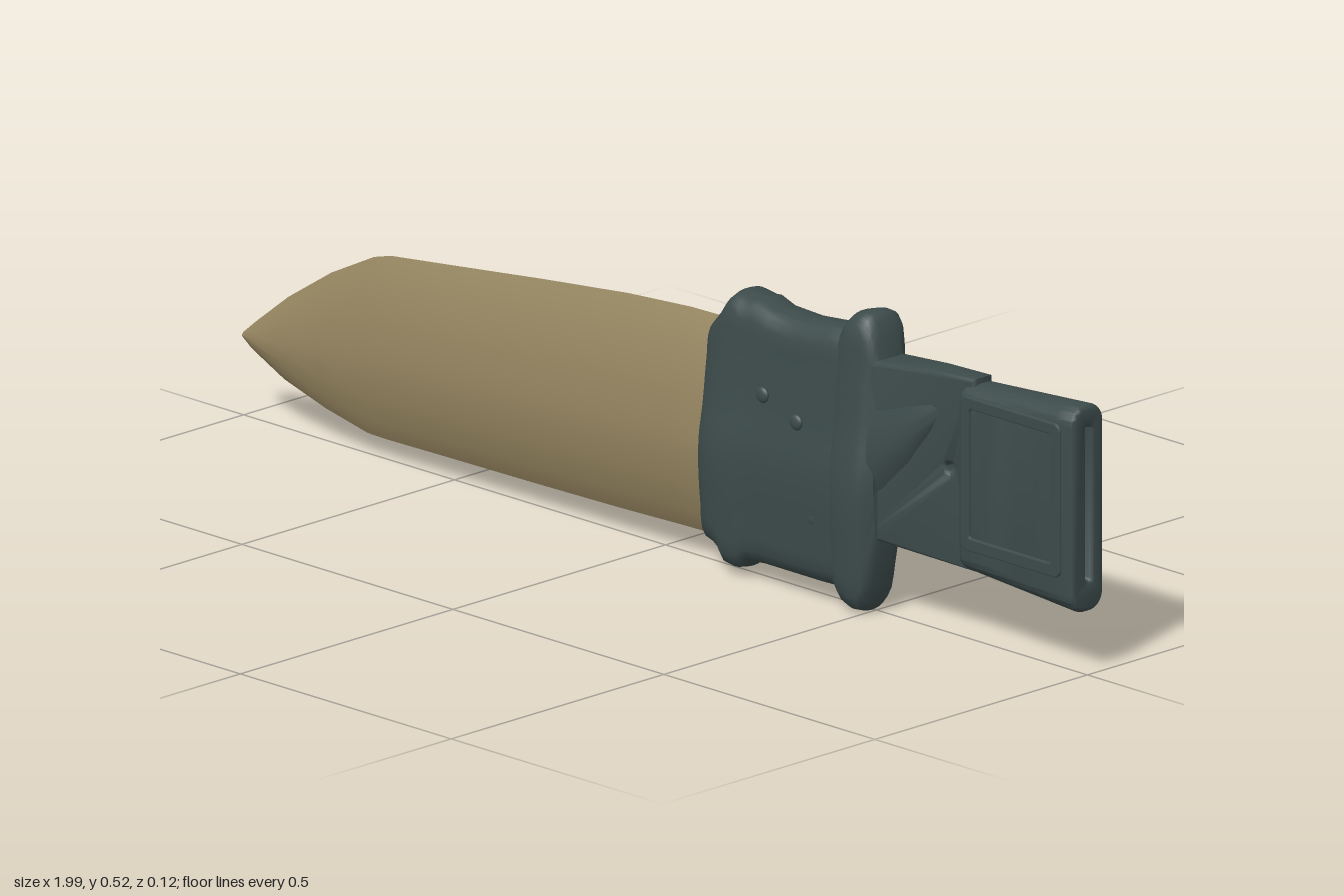
import * as THREE from 'three';
import { toCreasedNormals } from 'three/addons/utils/BufferGeometryUtils.js';

const tan = new THREE.MeshStandardMaterial({ color: 0x958560 });
tan.name = 'bladeTan';
const slate = new THREE.MeshStandardMaterial({ color: 0x3d4b4b });
slate.name = 'darkSlate';

// Smooth closed outline through a few [z, v] points (v runs 0..1 up the height).
function smoothRing(points, count) {
  const curve = new THREE.CatmullRomCurve3(points.map(([z, v]) => new THREE.Vector3(0, v, z)), true, 'centripetal');
  return curve.getPoints(count).slice(0, count).map((p) => [p.z, p.y]);
}

// Skin a ring along x. Sections are [x, bottom, top, thickness scale].
function loft(sections, ring, crease) {
  const n = ring.length, pos = [], idx = [];
  for (const [x, y0, y1, s] of sections) {
    for (const [z, v] of ring) pos.push(x, y0 + (y1 - y0) * v, z * s);
  }
  for (let i = 0; i < sections.length - 1; i++) {
    for (let j = 0; j < n; j++) {
      const k = (j + 1) % n, a = i * n + j, b = i * n + k;
      idx.push(a, b, b + n, a, b + n, a + n);
    }
  }
  const last = (sections.length - 1) * n, c = pos.length / 3;
  for (const [x, y0, y1] of [sections[0], sections[sections.length - 1]]) pos.push(x, (y0 + y1) / 2, 0);
  for (let j = 0; j < n; j++) {
    const k = (j + 1) % n;
    idx.push(c, k, j, c + 1, last + j, last + k);
  }
  const g = new THREE.BufferGeometry();
  g.setAttribute('position', new THREE.Float32BufferAttribute(pos, 3));
  g.setIndex(idx);
  return toCreasedNormals(g, crease);
}

function roundedRect(target, x0, y0, x1, y1, r) {
  target.moveTo(x0 + r, y0);
  target.lineTo(x1 - r, y0);
  target.absarc(x1 - r, y0 + r, r, -Math.PI / 2, 0);
  target.lineTo(x1, y1 - r);
  target.absarc(x1 - r, y1 - r, r, 0, Math.PI / 2);
  target.lineTo(x0 + r, y1);
  target.absarc(x0 + r, y1 - r, r, Math.PI / 2, Math.PI);
  target.lineTo(x0, y0 + r);
  target.absarc(x0 + r, y0 + r, r, Math.PI, Math.PI * 1.5);
  return target;
}

// Move every vertex by a rule, then refresh the normals.
function bend(geometry, rule) {
  const p = geometry.attributes.position, v = new THREE.Vector3();
  for (let i = 0; i < p.count; i++) {
    rule(v.fromBufferAttribute(p, i));
    p.setXYZ(i, v.x, v.y, v.z);
  }
  return toCreasedNormals(geometry, 0.7);
}

export function createModel() {
  const group = new THREE.Group();
  const add = (name, geometry, material) => {
    const mesh = new THREE.Mesh(geometry, material);
    mesh.name = name;
    group.add(mesh);
    return mesh;
  };

  // Broad blade with a low ridge on both faces
  const bladeRing = [[0.008, 0], [-0.022, 0.1], [-0.043, 0.27], [-0.055, 0.45], [-0.05, 0.68], [-0.036, 0.88],
    [-0.012, 1], [0.01, 0.9], [0.033, 0.7], [0.05, 0.45], [0.04, 0.25], [0.026, 0.09]];
  add('blade', loft([
    [-1, 0.138, 0.148, 0.08], [-0.975, 0.122, 0.17, 0.25], [-0.9, 0.088, 0.23, 0.45], [-0.8, 0.06, 0.295, 0.63],
    [-0.7, 0.04, 0.345, 0.76], [-0.66, 0.039, 0.356, 0.79], [-0.5, 0.041, 0.374, 0.87], [-0.3, 0.043, 0.397, 0.93],
    [-0.1, 0.046, 0.418, 0.98], [0.05, 0.05, 0.428, 1], [0.18, 0.052, 0.43, 1],
  ], bladeRing, 0.7), tan);

  // Collar and guard share a slightly leaning outline
  const collarRing = smoothRing([[0.04, 0.02], [0.015, 0], [-0.015, 0.01], [-0.036, 0.13], [-0.05, 0.35], [-0.054, 0.65],
    [-0.057, 0.93], [-0.045, 0.99], [0, 1], [0.024, 0.97], [0.036, 0.82], [0.046, 0.62], [0.058, 0.44], [0.054, 0.2]], 48);
  add('collar', loft([
    [0.128, 0.065, 0.43, 0.86], [0.135, 0.05, 0.437, 0.98], [0.155, 0.045, 0.46, 1.04], [0.168, 0.036, 0.48, 1.06],
    [0.18, 0.016, 0.49, 1.06], [0.2, 0.013, 0.488, 1.05], [0.218, 0.018, 0.486, 1.02], [0.232, 0.03, 0.488, 0.97],
    [0.265, 0.033, 0.477, 0.95], [0.33, 0.033, 0.474, 0.96], [0.4, 0.033, 0.48, 0.98], [0.45, 0.034, 0.484, 0.98],
    [0.49, 0.04, 0.47, 0.9],
  ], collarRing, 0.8), slate);
  add('guard', loft([
    [0.434, 0.045, 0.485, 0.86], [0.444, 0.024, 0.502, 0.97], [0.457, 0.01, 0.515, 1.02], [0.478, 0.002, 0.521, 1.04],
    [0.498, 0.004, 0.52, 1.02], [0.511, 0.02, 0.508, 0.95], [0.518, 0.05, 0.48, 0.8], [0.53, 0.12, 0.45, 0.65],
  ], collarRing, 0.8), slate);

  // Thin neck pierced by a small hole
  const neck = new THREE.Shape([[0.49, 0.13], [0.53, 0.142], [0.74, 0.135], [0.74, 0.457], [0.64, 0.452],
    [0.53, 0.442], [0.49, 0.43]].map(([x, y]) => new THREE.Vector2(x, y)));
  neck.holes.push(new THREE.Path().absarc(0.69, 0.298, 0.018, 0, Math.PI * 2, true));
  const neckGeo = new THREE.ExtrudeGeometry(neck, { depth: 1.5, bevelThickness: 0.25, bevelSize: 0.008,
    bevelSegments: 3, curveSegments: 12 });
  add('neck', bend(neckGeo, (v) => {
    v.z = -0.007 + (v.z - 0.75) * THREE.MathUtils.mapLinear(v.x, 0.49, 0.74, 0.037, 0.022);
  }), slate);

  // Soft fold fanning out of the guard on each face
  const foldRing = smoothRing([[0, 0], [-0.042, 0.3], [-0.045, 0.6], [0, 1], [0.036, 0.65], [0.041, 0.3]], 24);
  add('neckFold', loft([[0.5, 0.16, 0.42, 1], [0.54, 0.19, 0.425, 0.92], [0.6, 0.26, 0.43, 0.78],
    [0.65, 0.335, 0.43, 0.6], [0.68, 0.39, 0.425, 0.3]], foldRing, 1), slate);

  // Flat pommel with a long slot in its end
  const pommel = roundedRect(new THREE.Shape(), -0.022, 0.12, 0.038, 0.46, 0.024);
  pommel.holes.push(roundedRect(new THREE.Path(), -0.002, 0.158, 0.022, 0.438, 0.011));
  const pommelGeo = new THREE.ExtrudeGeometry(pommel, { depth: 0.25, steps: 8, bevelThickness: 0.011, bevelSize: 0.008,
    bevelSegments: 4, curveSegments: 8 });
  pommelGeo.rotateY(Math.PI / 2).translate(0.733, 0, 0);
  add('pommel', bend(pommelGeo, (v) => {
    v.y = 0.295 + (v.y - 0.295) * THREE.MathUtils.mapLinear(v.x, 0.73, 0.99, 0.92, 1.02);
  }), slate);

  // Raised border around the face panels of the pommel
  for (const [name, z] of [['frontPanelBorder', 0.028], ['backPanelBorder', -0.048]]) {
    const border = roundedRect(new THREE.Shape(), 0.735, 0.172, 0.965, 0.437, 0.012);
    border.holes.push(roundedRect(new THREE.Path(), 0.75, 0.19, 0.95, 0.421, 0.008));
    const g = new THREE.ExtrudeGeometry(border, { depth: 0.003, bevelThickness: 0.003, bevelSize: 0.003, bevelSegments: 2 });
    add(name, g.translate(0, 0, z), slate);
  }

  // Small rivet bumps on the collar
  for (const [x, y] of [[0.28, 0.34], [0.36, 0.31], [0.4, 0.15]]) {
    const bump = add('collarBump', new THREE.SphereGeometry(0.014, 14, 10), slate);
    bump.scale.z = 0.45;
    bump.position.set(x, y, 0.05);
  }
  return group;
}
